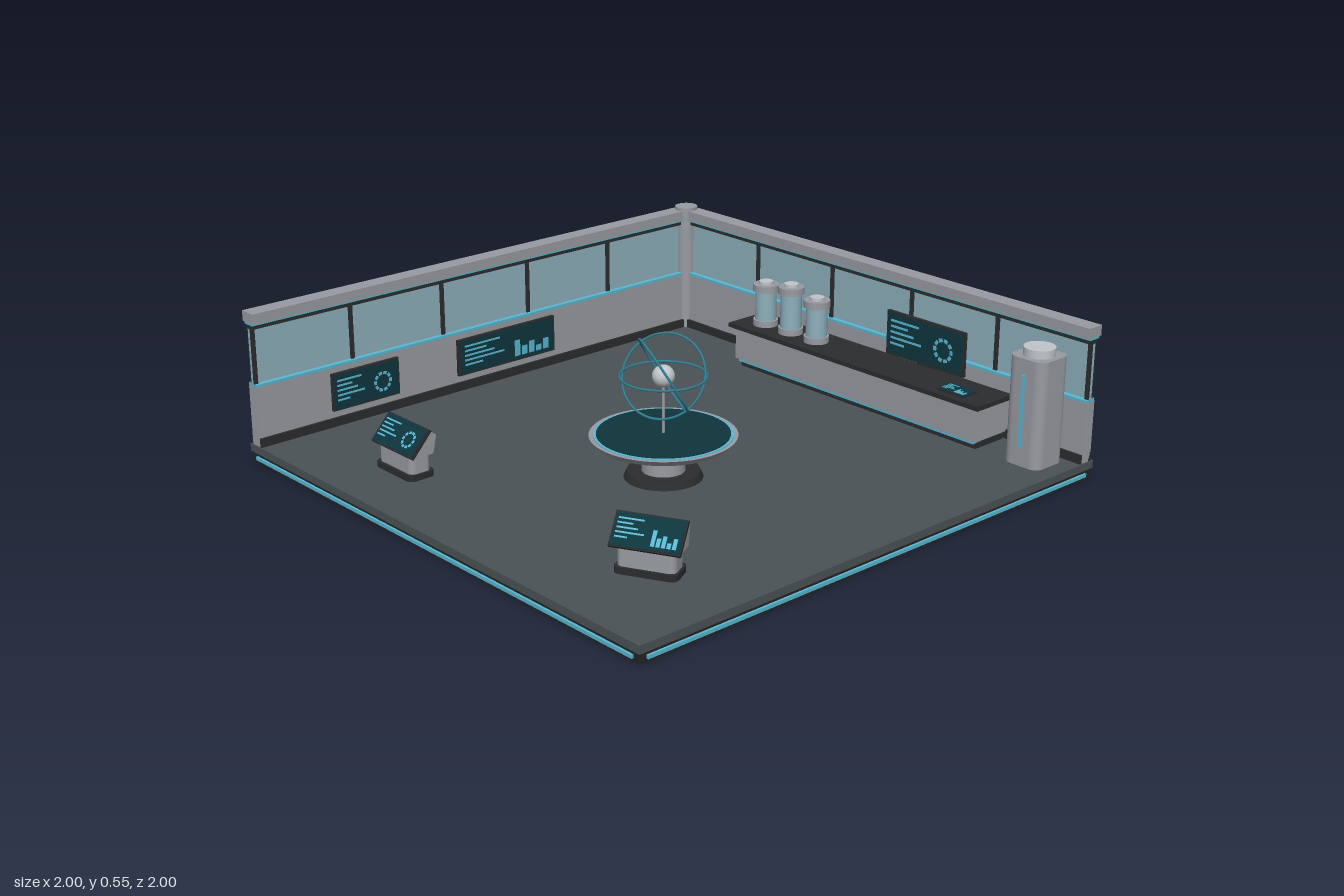
import * as THREE from 'three';

const mat = (name, color) => {
  const m = new THREE.MeshStandardMaterial({ color });
  m.name = name;
  return m;
};

export function createModel() {
  const M = {
    grey: mat('panel grey', 0x989ba1),
    pale: mat('pale metal', 0xc2c6ca),
    floor: mat('floor slate', 0x4b5256),
    dark: mat('dark trim', 0x2b2c2e),
    base: mat('base black', 0x232426),
    glass: mat('glass blue', 0x8eb0bd),
    cyan: mat('light cyan', 0x58b8d2),
    orbit: mat('orbit teal', 0x2f7d90),
    screen: mat('screen teal', 0x0e353c),
  };
  const root = new THREE.Group();

  const add = (parent, name, geo, m, x = 0, y = 0, z = 0) => {
    const mesh = new THREE.Mesh(geo, m);
    mesh.name = name;
    mesh.position.set(x, y, z);
    parent.add(mesh);
    return mesh;
  };
  // Box given by its limits on each axis
  const box = (parent, name, m, x0, x1, y0, y1, z0, z1) =>
    add(parent, name, new THREE.BoxGeometry(x1 - x0, y1 - y0, z1 - z0), m, (x0 + x1) / 2, (y0 + y1) / 2, (z0 + z1) / 2);
  // Upright cylinder from y0 to y1
  const cyl = (parent, name, m, r, y0, y1, x = 0, z = 0, rBottom = r, n = 40) =>
    add(parent, name, new THREE.CylinderGeometry(r, rBottom, y1 - y0, n), m, x, (y0 + y1) / 2, z);
  const group = (name, x = 0, y = 0, z = 0, parent = root) => {
    const g = new THREE.Group();
    g.name = name;
    g.position.set(x, y, z);
    parent.add(g);
    return g;
  };
  // Upright block with rounded vertical edges
  const roundedBlock = (parent, name, m, w, d, r, y0, y1) => {
    const s = new THREE.Shape(), a = w / 2, b = d / 2;
    s.moveTo(-a + r, -b);
    s.lineTo(a - r, -b).absarc(a - r, -b + r, r, -Math.PI / 2, 0);
    s.lineTo(a, b - r).absarc(a - r, b - r, r, 0, Math.PI / 2);
    s.lineTo(-a + r, b).absarc(-a + r, b - r, r, Math.PI / 2, Math.PI);
    s.lineTo(-a, -b + r).absarc(-a + r, -b + r, r, Math.PI, Math.PI * 1.5);
    const geo = new THREE.ExtrudeGeometry(s, { depth: y1 - y0, bevelEnabled: false, curveSegments: 8 });
    geo.rotateX(-Math.PI / 2);
    return add(parent, name, geo, m, 0, y0, 0);
  };

  // Display facing +z, with text bars and either a dotted ring or a bar chart
  const display = (parent, name, w, h, kind, x, y, z, t = 0.012) => {
    const g = group(name, x, y, z, parent);
    add(g, 'displayFrame', new THREE.BoxGeometry(w, h, t), M.dark);
    add(g, 'displayFace', new THREE.BoxGeometry(w * 0.96, h * 0.92, 0.003), M.screen, 0, 0, t / 2 + 0.001);
    const mark = (mw, mh, mx, my, rot = 0) => {
      const p = add(g, 'displayMark', new THREE.BoxGeometry(mw, mh, 0.002), M.cyan, mx, my, t / 2 + 0.0033);
      p.rotation.z = rot;
    };
    [0.36, 0.22, 0.3, 0.4, 0.18].forEach((len, i) =>
      mark(w * len, h * 0.05, w * (-0.44 + len / 2), h * (0.3 - i * 0.13)));
    if (kind === 'ring') {
      const r = h * 0.23;
      for (let i = 0; i < 10; i++) {
        const a = (i / 10) * Math.PI * 2;
        mark(h * 0.08, h * 0.1, w * 0.24 + r * Math.cos(a), r * Math.sin(a) - h * 0.03, a);
      }
    } else {
      [0.45, 0.25, 0.33, 0.16, 0.3].forEach((len, i) =>
        mark(w * 0.055, h * len, w * (0.1 + i * 0.075), h * (-0.36 + len / 2)));
    }
    return g;
  };

  // Floor slab with light strips on the two open edges
  const floor = group('floor');
  box(floor, 'floorBase', M.base, -1, 0.99, 0, 0.035, -1, 0.99);
  box(floor, 'floorDeck', M.floor, -1, 0.995, 0.035, 0.062, -1, 0.995);
  box(floor, 'frontLightStrip', M.cyan, -0.965, 0.965, 0.012, 0.024, 0.988, 0.998);
  box(floor, 'sideLightStrip', M.cyan, 0.988, 0.998, 0.012, 0.024, -0.965, 0.965);

  // Window wall running along x from u0 to u1, outer face at z = 0, inside towards +z
  const wall = (name, u0, u1, p0, p1) => {
    const g = group(name);
    box(g, 'wallPanel', M.grey, u0, u1, 0.062, 0.275, 0.01, 0.055);
    box(g, 'wallPlinth', M.dark, u0, u1, 0.062, 0.093, 0.004, 0.064);
    box(g, 'sillLight', M.cyan, u0, u1, 0.275, 0.284, 0.012, 0.057);
    box(g, 'windowGlass', M.glass, u0, u1, 0.284, 0.478, 0.028, 0.038);
    box(g, 'windowHead', M.dark, u0, u1, 0.476, 0.49, 0.015, 0.052);
    box(g, 'railLight', M.cyan, u0, u1, 0.49, 0.497, 0.01, 0.057);
    box(g, 'topRail', M.grey, u0, u1, 0.497, 0.533, 0, 0.064);
    for (let i = 0; i <= 5; i++) {
      const x = THREE.MathUtils.lerp(p0, p1, i / 5);
      box(g, 'mullion', M.dark, x - 0.007, x + 0.007, 0.284, 0.478, 0.02, 0.046);
    }
    return g;
  };
  wall('backWall', -0.99, 0.99, -0.94, 0.982).position.z = -1;
  const side = wall('sideWall', -0.99, 0.99, -0.982, 0.94);
  side.position.x = -1;
  side.rotation.y = Math.PI / 2;
  display(side, 'wideWallDisplay', 0.44, 0.135, 'bars', 0.05, 0.188, 0.064);
  display(side, 'smallWallDisplay', 0.275, 0.135, 'ring', -0.565, 0.188, 0.064);

  // Corner post
  const post = group('cornerPost', -0.957, 0, -0.957);
  cyl(post, 'postShaft', M.grey, 0.036, 0.062, 0.5);
  cyl(post, 'postCap', M.grey, 0.043, 0.5, 0.545);

  // Counter along the back wall
  const counter = group('counter');
  box(counter, 'counterPlinth', M.dark, -0.46, 0.67, 0.062, 0.085, -0.925, -0.785);
  box(counter, 'counterLight', M.cyan, -0.46, 0.67, 0.082, 0.092, -0.925, -0.772);
  box(counter, 'counterBody', M.grey, -0.475, 0.68, 0.092, 0.213, -0.93, -0.768);
  box(counter, 'counterTop', M.dark, -0.495, 0.7, 0.213, 0.229, -0.932, -0.75);
  const pad = display(counter, 'counterPad', 0.115, 0.075, 'bars', 0.555, 0.231, -0.815, 0.006);
  pad.rotation.x = -Math.PI / 2;
  display(counter, 'backDisplay', 0.355, 0.16, 'ring', 0.323, 0.32, -0.915);
  box(counter, 'displayBracket', M.dark, 0.28, 0.36, 0.229, 0.3, -0.945, -0.921);

  // Sample jars
  [[-0.39, 0], [-0.26, 0.02], [-0.13, 0]].forEach(([x, up]) => {
    const jar = group('sampleJar', x, 0, -0.838);
    cyl(jar, 'jarFoot', M.grey, 0.046, 0.229, 0.252);
    cyl(jar, 'jarGlass', M.glass, 0.039, 0.252, 0.36 + up);
    cyl(jar, 'jarLid', M.grey, 0.048, 0.36 + up, 0.386 + up);
    cyl(jar, 'jarKnob', M.pale, 0.026, 0.386 + up, 0.397 + up);
  });

  // Tall storage cabinet
  const cabinet = group('storageCabinet', 0.862, 0, -0.85);
  roundedBlock(cabinet, 'cabinetBody', M.grey, 0.145, 0.145, 0.035, 0.062, 0.434);
  cyl(cabinet, 'cabinetCap', M.pale, 0.053, 0.434, 0.462);
  box(cabinet, 'cabinetLight', M.cyan, -0.005, 0.005, 0.13, 0.38, 0.07, 0.08);

  // Round projection table
  const table = group('projectionTable', 0.145, 0, 0.147);
  cyl(table, 'tableFoot', M.dark, 0.12, 0.062, 0.085, 0, 0, 0.13);
  cyl(table, 'tablePedestal', M.grey, 0.072, 0.085, 0.188);
  cyl(table, 'tableRim', M.grey, 0.242, 0.188, 0.208, 0, 0, 0.225, 56);
  cyl(table, 'tableLightRing', M.cyan, 0.228, 0.207, 0.2105, 0, 0, 0.228, 56);
  cyl(table, 'tableScreen', M.screen, 0.218, 0.208, 0.213, 0, 0, 0.218, 56);

  // Floating sphere with three orbits
  cyl(table, 'projectorStem', M.grey, 0.005, 0.213, 0.375, 0, 0, 0.005, 12);
  add(table, 'coreSphere', new THREE.SphereGeometry(0.037, 28, 18), M.pale, 0, 0.407, 0);
  [[0, 1, 0], [-0.38, -0.5, 0.78], [0.38, 0.5, 0.78]].forEach((n) => {
    const ring = add(table, 'orbitRing', new THREE.TorusGeometry(0.141, 0.004, 8, 64), M.orbit, 0, 0.407, 0);
    ring.quaternion.setFromUnitVectors(new THREE.Vector3(0, 0, 1), new THREE.Vector3(...n).normalize());
  });

  // Control consoles with a sloped display
  const control = (kind, x, z, turn) => {
    const g = group('controlConsole', x, 0, z);
    g.rotation.y = turn;
    roundedBlock(g, 'consoleFoot', M.dark, 0.2, 0.1, 0.02, 0.062, 0.083);
    roundedBlock(g, 'consoleBody', M.grey, 0.185, 0.08, 0.02, 0.083, 0.15);
    const s = new THREE.Shape([[0.042, 0.143], [-0.03, 0.222], [-0.054, 0.205], [-0.04, 0.143]].map((p) => new THREE.Vector2(-p[0], p[1])));
    const head = new THREE.ExtrudeGeometry(s, { depth: 0.21, bevelEnabled: false });
    head.translate(0, 0, -0.105).rotateY(Math.PI / 2);
    add(g, 'consoleHead', head, M.grey);
    const d = display(g, 'consoleDisplay', 0.225, 0.112, kind, 0, 0.187, 0.011);
    d.rotation.x = -0.74;
  };
  control('ring', -0.452, 0.745, 0);
  control('bars', 0.66, 0.66, 0.48);

  return root;
}
